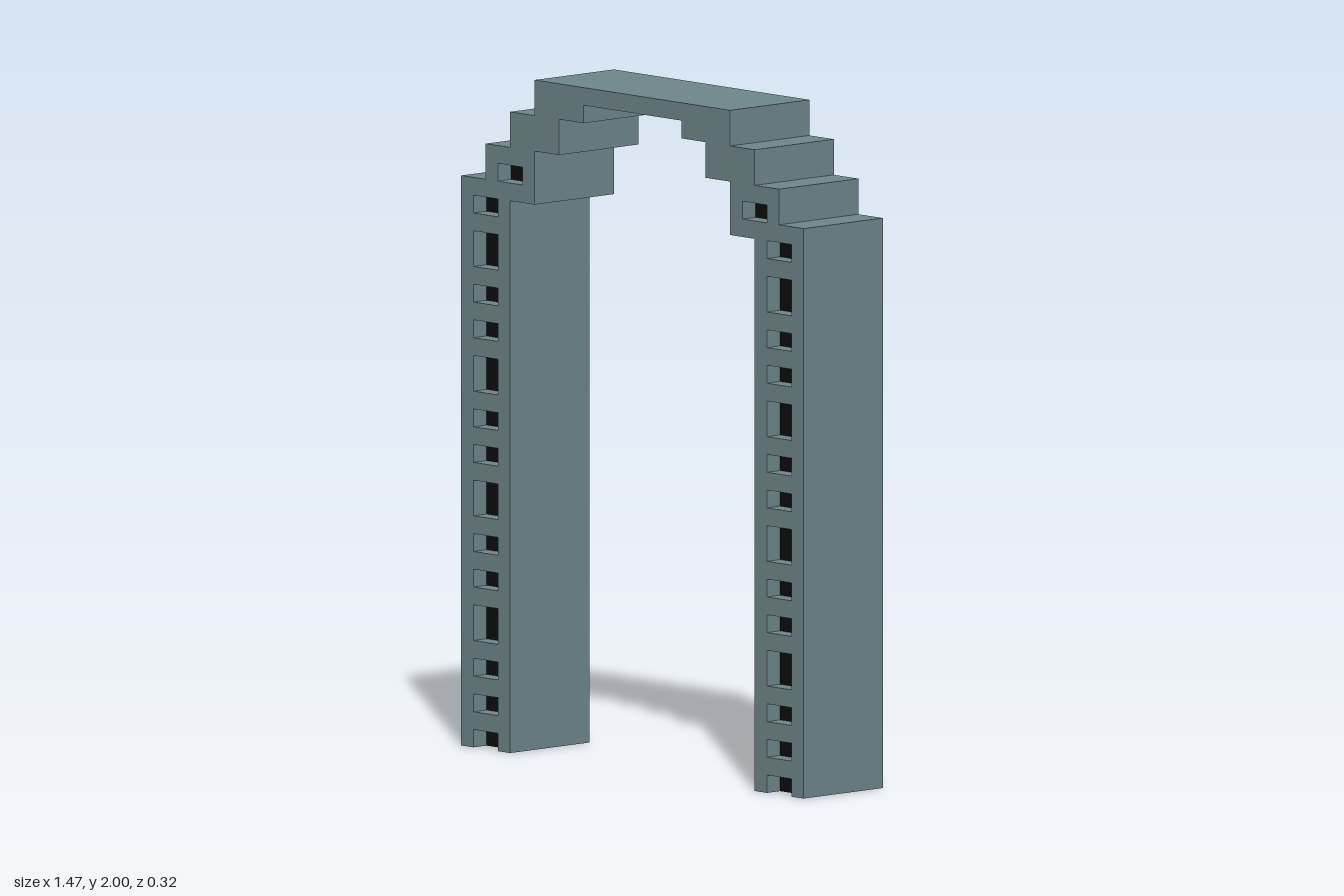
import * as THREE from 'three';

const U = 2 / 38; // one block

export function createModel() {
  const group = new THREE.Group();
  group.name = 'steppedArch';
  const stone = new THREE.MeshStandardMaterial({ color: 0x70888c });
  stone.name = 'greyStone';
  const black = new THREE.MeshStandardMaterial({ color: 0x0d0d0d });
  black.name = 'blackPanel';

  // Right half of the outline in blocks, from the crown's underside to the top
  const plain = [
    [4, 37], [4, 36], [6, 36], [6, 34], [8, 34], [8, 31], [10, 31], [10, 0],
    [14, 0], [14, 32], [12, 32], [12, 34], [10, 34], [10, 36], [8, 36], [8, 38],
  ];
  // Same outline with the open notch at the foot
  const notched = [...plain];
  notched.splice(8, 0, [11, 0], [11, 1], [13, 1], [13, 0]);

  // Recesses: [x, y, height], all two blocks wide
  const recesses = [[9, 32, 1]];
  for (let y = 2; y < 31; y += 7) {
    recesses.push([11, y, 1]);
    if (y + 2 < 31) recesses.push([11, y + 2, 1], [11, y + 4, 2]);
  }

  const toPoints = (pts) => pts.map(([x, y]) => new THREE.Vector2(x * U, y * U));
  const mirror = (pts) => pts.map(([x, y]) => [-x, y]).reverse();

  function layer(name, half, z, depth, pierced) {
    const shape = new THREE.Shape(toPoints([...half, ...mirror(half)]));
    if (pierced) {
      for (const [x, y, h] of recesses) {
        const hole = [[x, y], [x, y + h], [x + 2, y + h], [x + 2, y]];
        shape.holes.push(new THREE.Path(toPoints(hole)), new THREE.Path(toPoints(mirror(hole))));
      }
    }
    const geo = new THREE.ExtrudeGeometry(shape, { depth: depth * U, bevelEnabled: false });
    geo.translate(0, 0, z * U);
    const mesh = new THREE.Mesh(geo, stone);
    mesh.name = name;
    group.add(mesh);
  }

  // Solid core between two pierced faces
  layer('archCore', plain, -1, 2, false);
  layer('frontFace', notched, 1, 2, true);
  layer('backFace', notched, -3, 2, true);

  // Dark panels set one block deep in every recess and foot notch
  for (const [x, y, h] of [[11, 0, 1], ...recesses]) {
    const geo = new THREE.BoxGeometry(2 * U, h * U, U);
    for (const sx of [1, -1]) {
      for (const sz of [1, -1]) {
        const panel = new THREE.Mesh(geo, black);
        panel.name = 'recessPanel';
        panel.position.set(sx * (x + 1) * U, (y + h / 2) * U, sz * 1.5 * U);
        group.add(panel);
      }
    }
  }
  return group;
}
